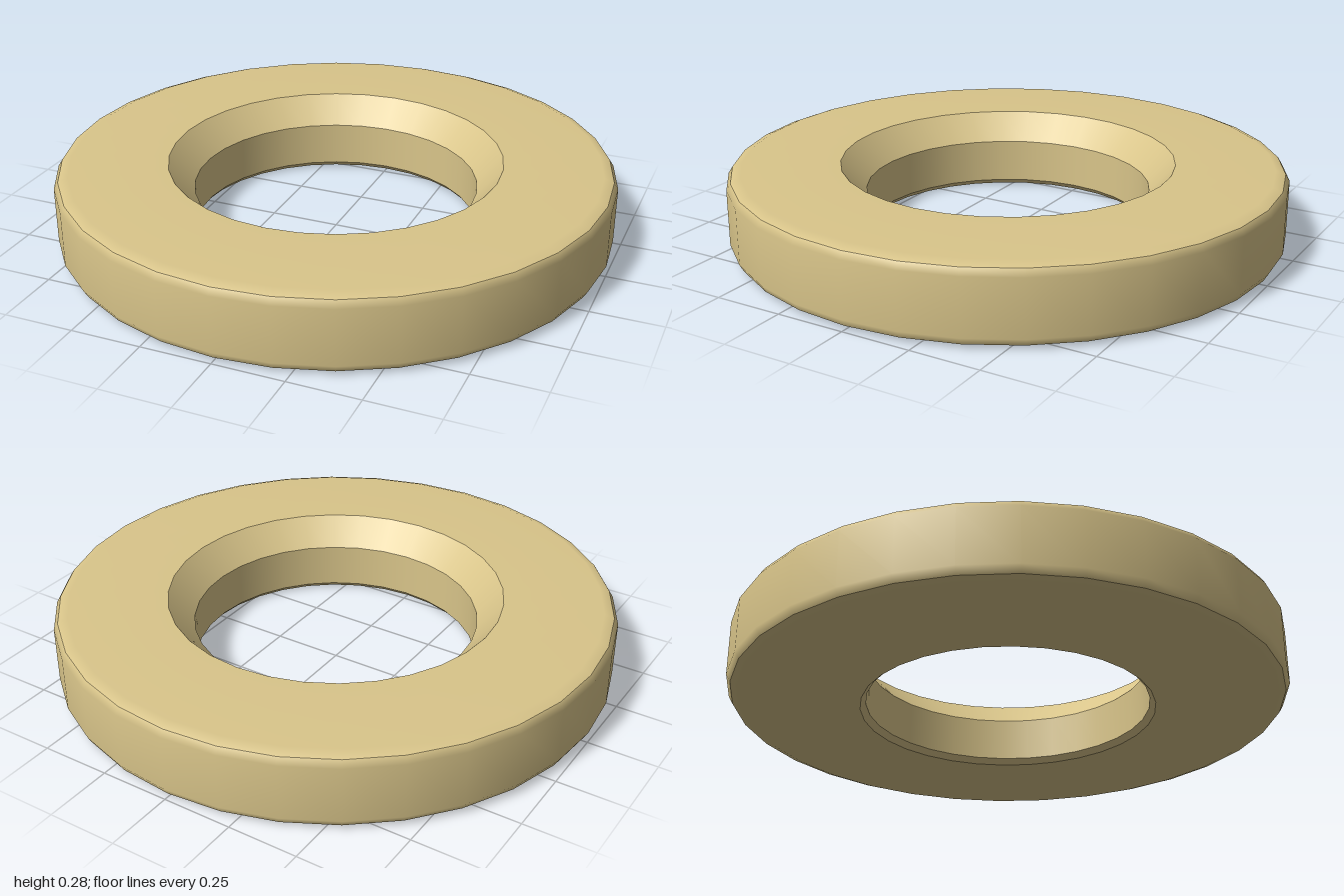
import * as THREE from 'three';

const SIDES = 32;

export function createModel() {
  const washer = new THREE.Group();
  washer.name = 'washer';
  const material = new THREE.MeshStandardMaterial({ color: 0xd9c58a });

  // Smooth bands of the cross-section [radius, height], split where the edges are sharp
  const bands = {
    bottomFace: [[0.53, 0], [0.95, 0], [0.985, 0.014]],
    outerRim: [[0.985, 0.014], [1, 0.04], [1, 0.24], [0.985, 0.264]],
    topFace: [[0.985, 0.264], [0.95, 0.278], [0.6, 0.278]],
    countersink: [[0.6, 0.278], [0.51, 0.18]],
    bore: [[0.51, 0.18], [0.51, 0.02]],
    boreChamfer: [[0.51, 0.02], [0.53, 0]],
  };

  for (const [name, profile] of Object.entries(bands)) {
    const points = profile.map(([r, y]) => new THREE.Vector2(r, y));
    const mesh = new THREE.Mesh(new THREE.LatheGeometry(points, SIDES), material);
    mesh.name = name;
    washer.add(mesh);
  }
  return washer;
}
